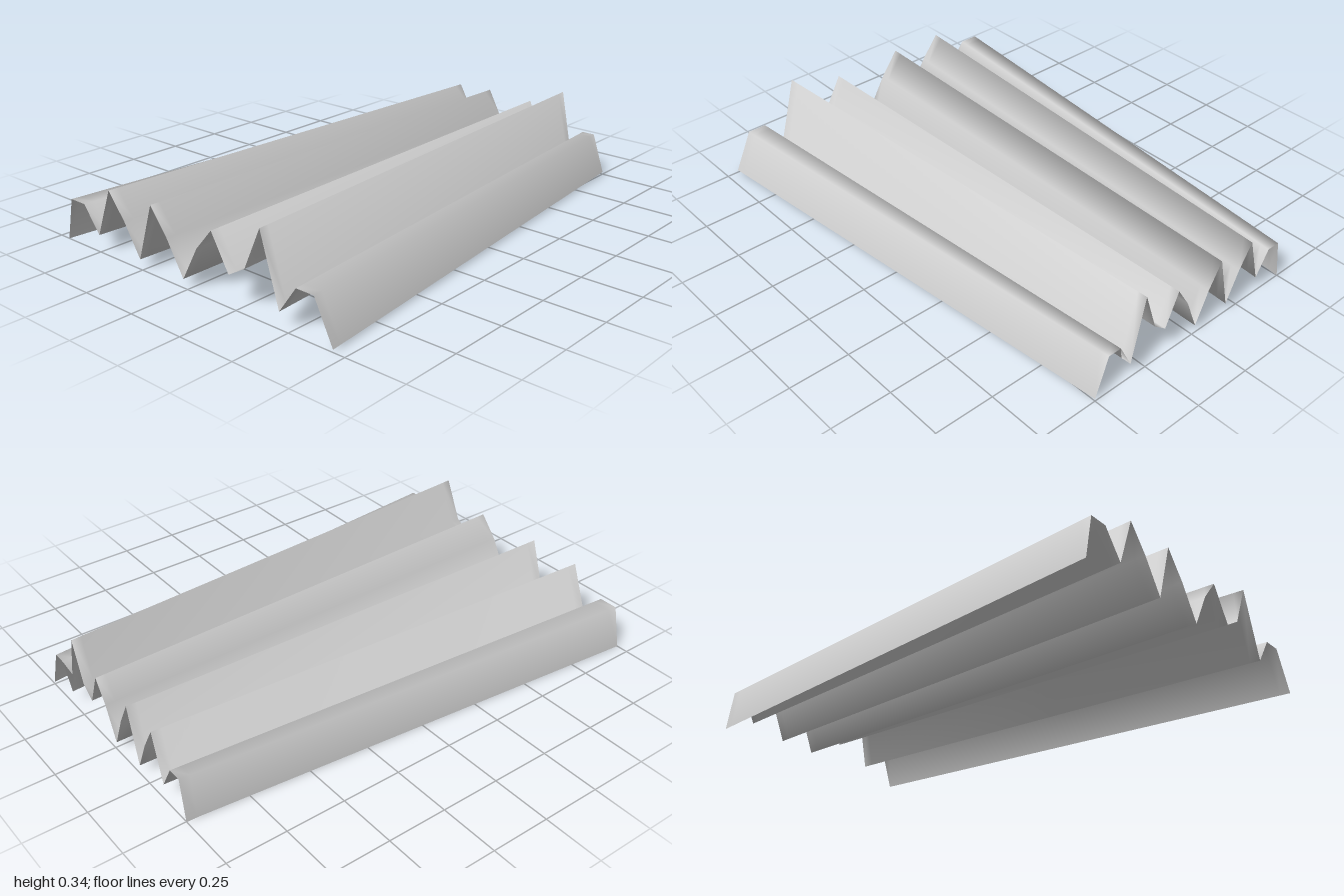
import * as THREE from 'three';

// Fold heights from the left-hand border to the right-hand one
const heights = [
  0, 0.175, 0.175, 0.07, 0.27, 0.17, 0.04, 0.275, 0.17, 0.035,
  0.175, 0.265, 0.125, 0.17, 0.34, 0.065, 0.175, 0.175, 0.01,
];
const HALF_FRONT = 0.7, HALF_BACK = 0.5, STEP = 0.08;

export function createModel() {
  const group = new THREE.Group();
  group.name = 'pleatedSheet';

  // Flat grid, laid down, then folded and tapered towards the back
  const cols = heights.length;
  const geometry = new THREE.PlaneGeometry(2, 2, cols - 1, 48).rotateX(-Math.PI / 2);
  const pos = geometry.attributes.position;
  for (let i = 0; i < pos.count; i++) {
    const col = i % cols;
    const z = pos.getZ(i);
    // Folds are evenly spaced from the right border; the first strip is the remainder
    const x = Math.max(-HALF_FRONT, HALF_FRONT - STEP * (cols - 1 - col));
    const half = THREE.MathUtils.lerp(HALF_BACK, HALF_FRONT, (z + 1) / 2);
    pos.setXYZ(i, (x * half) / HALF_FRONT, heights[col], z);
  }
  geometry.computeVertexNormals();

  const material = new THREE.MeshStandardMaterial({ color: 0xcccccc, side: THREE.DoubleSide });
  const sheet = new THREE.Mesh(geometry, material);
  sheet.name = 'foldedSheet';
  group.add(sheet);
  return group;
}
